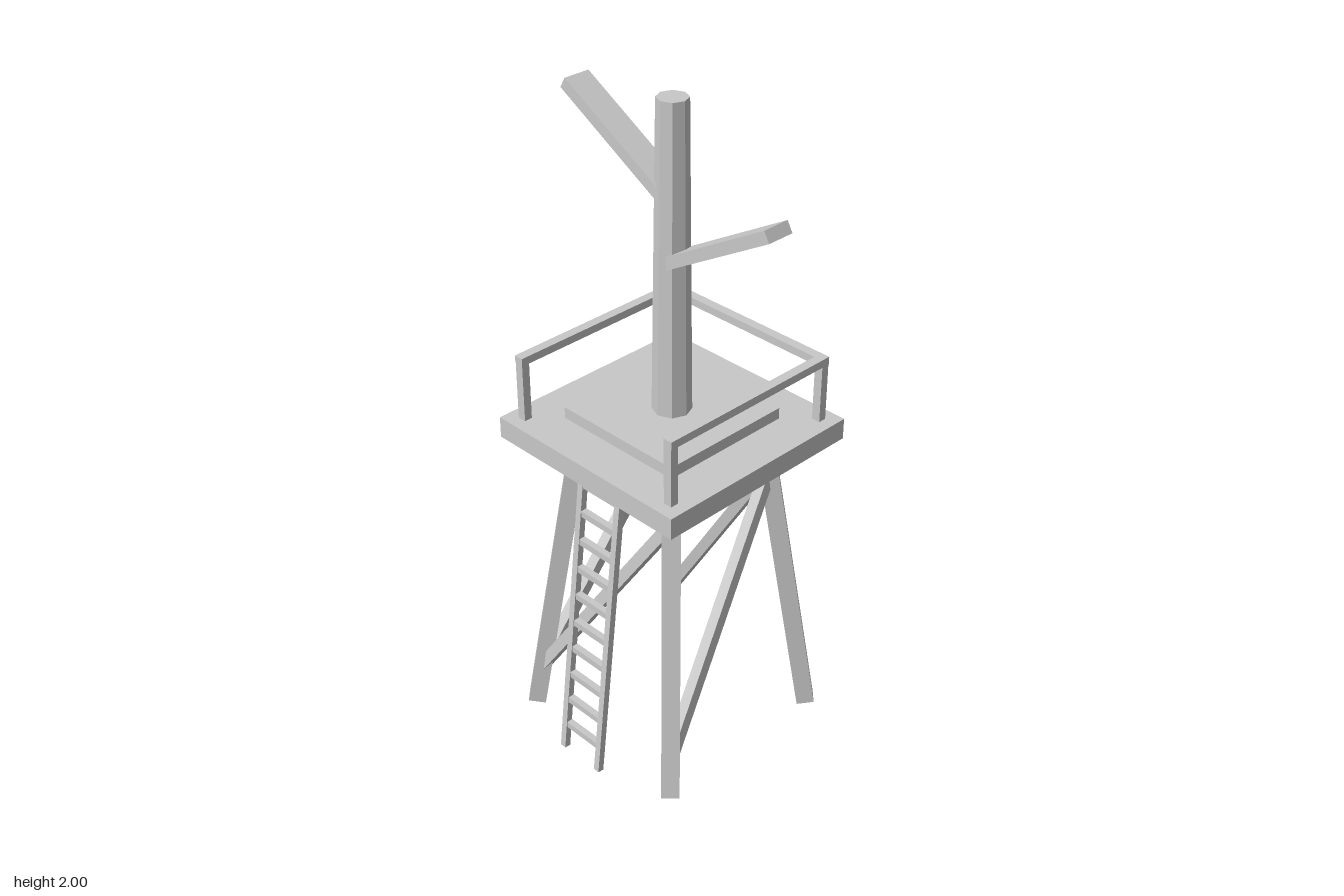
import * as THREE from 'three';

const CZ = -0.0245; // depth of the tower's axis

export function createModel() {
  const model = new THREE.Group();
  model.name = 'lookoutTower';
  const grey = new THREE.MeshStandardMaterial({ color: 0xc8c8c8, flatShading: true });
  grey.name = 'plain grey';

  const add = (name, geometry, x = 0, y = 0, z = 0) => {
    const mesh = new THREE.Mesh(geometry, grey);
    mesh.name = name;
    mesh.position.set(x, y, z);
    model.add(mesh);
    return mesh;
  };
  const box = (name, w, h, d, x, y, z) => add(name, new THREE.BoxGeometry(w, h, d), x, y, z);

  // Straight member from a to b; makeGeometry receives its length along y
  const UP = new THREE.Vector3(0, 1, 0);
  const beam = (name, a, b, makeGeometry) => {
    const dir = b.clone().sub(a);
    const mesh = add(name, makeGeometry(dir.length()));
    mesh.position.copy(a).add(b).multiplyScalar(0.5);
    mesh.quaternion.setFromUnitVectors(UP, dir.normalize());
    return mesh;
  };
  const V = (x, y, z) => new THREE.Vector3(x, y, z);

  // Decks
  box('platform', 0.684, 0.065, 0.683, 0, 1.0125, CZ);
  box('mastBase', 0.424, 0.035, 0.425, 0, 1.0625, CZ);

  // Tapered octagonal mast
  add('mast', new THREE.CylinderGeometry(0.044, 0.057, 0.92, 8), 0, 1.54, CZ);

  // Flat arms rising out of the mast at 30 degrees
  for (const [name, side, y] of [['leftArm', 1, 1.542], ['rightArm', -1, 1.732]]) {
    beam(name, V(0, y, CZ), V(side * 0.369, y + 0.213, CZ),
      (l) => new THREE.BoxGeometry(0.035, l, 0.085));
  }

  // Splayed four-sided legs, with diagonal faces
  const legAt = (sx, sz, y) => {
    const r = 0.297 - 0.115 * y;
    return V(sx * r, y, CZ + sz * r);
  };
  for (const sx of [-1, 1]) {
    for (const sz of [-1, 1]) {
      beam('leg', legAt(sx, sz, 0.006), legAt(sx, sz, 0.985),
        (l) => new THREE.CylinderGeometry(0.038, 0.038, l, 4));
    }
  }

  // One diagonal brace on each side
  const braces = [
    ['frontBrace', [-1, 1], [1, 1]], ['backBrace', [-1, -1], [1, -1]],
    ['leftBrace', [1, 1], [1, -1]], ['rightBrace', [-1, 1], [-1, -1]],
  ];
  for (const [name, low, high] of braces) {
    beam(name, legAt(...low, 0.135), legAt(...high, 0.875),
      (l) => new THREE.BoxGeometry(0.034, l, 0.034));
  }

  // Railing on three sides, open at the front
  const railY = 1.235;
  for (const sx of [-1, 1]) {
    box('sideRail', 0.029, 0.024, 0.609, sx * 0.2905, railY, CZ);
    for (const sz of [-1, 1]) {
      box('railPost', 0.027, 0.19, 0.025, sx * 0.2905, 1.135, CZ + sz * 0.2915);
    }
  }
  box('backRail', 0.552, 0.024, 0.029, 0, railY, -0.3145);

  // Leaning ladder
  const ladderZ = (y) => 0.354 - 0.113 * y;
  for (const sx of [-1, 1]) {
    beam('ladderRail', V(sx * 0.074, 0.003, ladderZ(0)), V(sx * 0.074, 0.985, ladderZ(0.985)),
      (l) => new THREE.BoxGeometry(0.02, l, 0.02));
  }
  for (let i = 0; i < 10; i++) {
    const y = 0.09 + i * 0.0923;
    box('rung', 0.13, 0.02, 0.02, 0, y, ladderZ(y) - 0.002);
  }

  return model;
}
